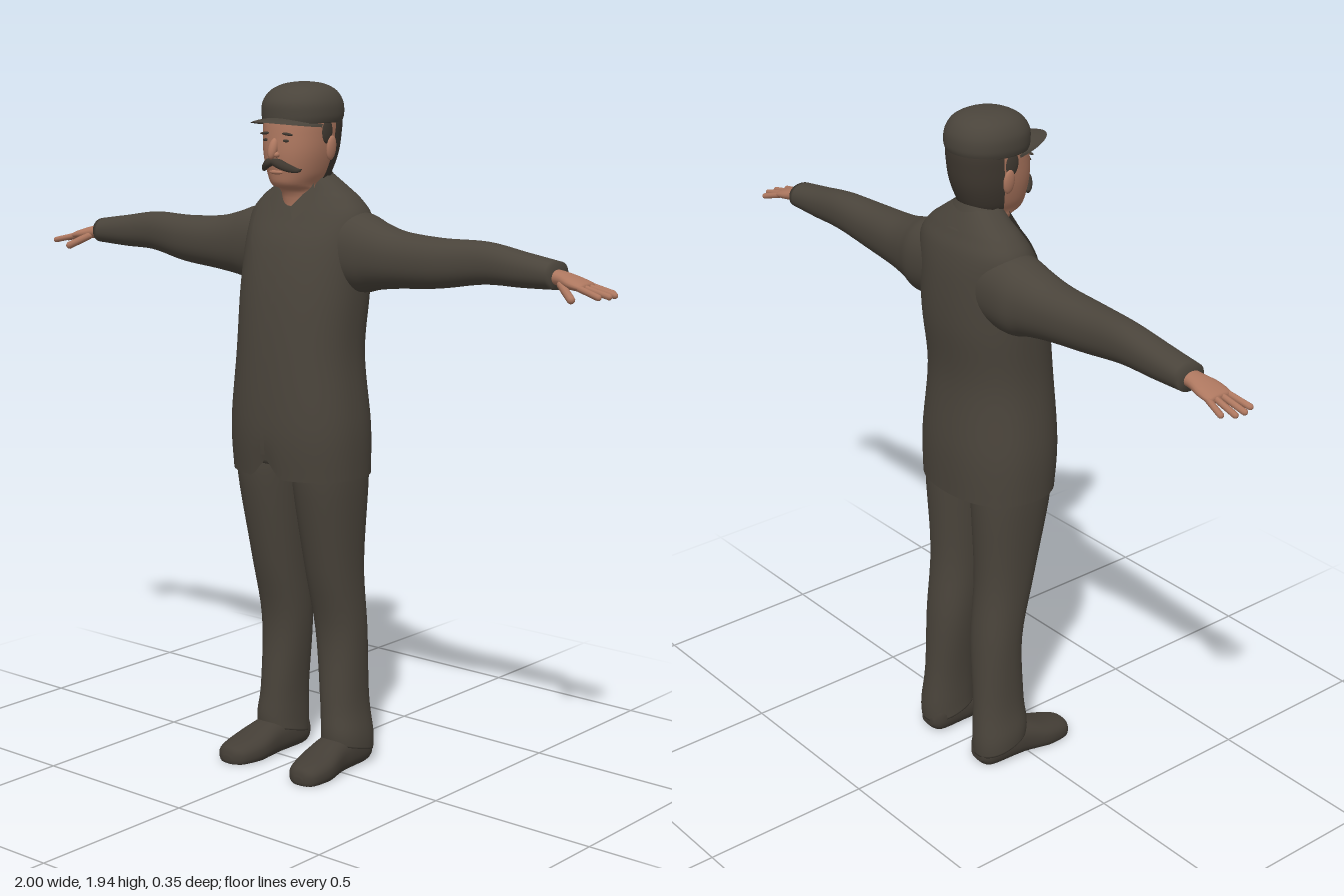
import * as THREE from 'three';

const paint = (name, color, side = THREE.DoubleSide) => {
  const m = new THREE.MeshStandardMaterial({ color, side });
  m.name = name;
  return m;
};

// Smoothly subdivide a list of cross-sections
function dense(rows, steps = 5) {
  const out = [], last = rows.length - 1;
  const cr = (a, b, c, d, t) => b + 0.5 * t * (c - a + t * (2 * a - 5 * b + 4 * c - d + t * (3 * (b - c) + d - a)));
  for (let i = 0; i < last; i++) for (let k = 0; k < steps; k++) {
    const [a, b, c, d] = [rows[Math.max(i - 1, 0)], rows[i], rows[i + 1], rows[Math.min(i + 2, last)]];
    out.push(b.map((_, j) => cr(a[j], b[j], c[j], d[j], k / steps)));
  }
  out.push(rows[last]);
  return out;
}

// Skin superellipse sections [s, cu, cv, ru, rv]; axis y: u=x v=z, axis x: u=z v=y, axis z: u=y v=x
function loft(rows, { axis = 'y', n = 2.2, seg = 40, from = 0, to = Math.PI * 2, caps = true, warp } = {}) {
  const pos = [], idx = [], full = to - from > 6.28, cols = full ? seg : seg + 1;
  const put = (s, u, v) => {
    const p = axis === 'y' ? new THREE.Vector3(u, s, v) : axis === 'x' ? new THREE.Vector3(s, v, u) : new THREE.Vector3(v, u, s);
    if (warp) warp(p);
    pos.push(p.x, p.y, p.z);
  };
  const pw = (c) => Math.sign(c) * Math.abs(c) ** (2 / n);
  rows.forEach(([s, cu, cv, ru, rv]) => {
    for (let j = 0; j < cols; j++) {
      const t = from + (to - from) * j / seg;
      put(s, cu + ru * pw(Math.cos(t)), cv + rv * pw(Math.sin(t)));
    }
  });
  for (let i = 0; i < rows.length - 1; i++) for (let j = 0; j < seg; j++) {
    const a = i * cols + j, b = i * cols + (j + 1) % cols, c = a + cols, d = b + cols;
    idx.push(a, c, b, b, c, d);
  }
  if (caps && full) [0, rows.length - 1].forEach((r, e) => {
    put(rows[r][0], rows[r][1], rows[r][2]);
    const m = pos.length / 3 - 1;
    for (let j = 0; j < seg; j++) {
      const a = r * cols + j, b = r * cols + (j + 1) % cols;
      idx.push(m, e ? b : a, e ? a : b);
    }
  });
  return build(pos, idx);
}

function build(pos, idx) {
  const g = new THREE.BufferGeometry();
  g.setAttribute('position', new THREE.Float32BufferAttribute(pos, 3));
  g.setIndex(idx);
  g.computeVertexNormals();
  return g;
}

// Sheet between two point functions a(t) and b(t)
function sheet(a, b, nu = 16, nv = 5) {
  const pos = [], idx = [];
  for (let i = 0; i <= nu; i++) for (let j = 0; j <= nv; j++) pos.push(...b(i / nu, j / nv, a(i / nu)));
  for (let i = 0; i < nu; i++) for (let j = 0; j < nv; j++) {
    const p = i * (nv + 1) + j, q = p + nv + 1;
    idx.push(p, p + 1, q, q, p + 1, q + 1);
  }
  return build(pos, idx);
}

function mirrored(geo) {
  const g = geo.clone().scale(-1, 1, 1), ix = g.index.array;
  for (let i = 0; i < ix.length; i += 3) [ix[i], ix[i + 1]] = [ix[i + 1], ix[i]];
  g.computeVertexNormals();
  return g;
}

// Front surface depth of a vertical loft
function frontZ(rows, x, y, n) {
  let i = rows.findIndex((r) => r[0] >= y);
  if (i < 1) i = i < 0 ? rows.length - 1 : 1;
  const a = rows[i - 1], b = rows[i], t = THREE.MathUtils.clamp((y - a[0]) / (b[0] - a[0]), 0, 1);
  const [, cu, cv, ru, rv] = a.map((v, k) => v + (b[k] - v) * t);
  return cv + rv * Math.max(0, 1 - Math.abs((x - cu) / ru) ** n) ** (1 / n);
}

export function createModel() {
  const cloth = paint('dark brown cloth', 0x4a443b);
  const skin = paint('skin', 0xad775f, THREE.FrontSide);
  const hair = paint('dark hair', 0x3f3830);
  const leather = paint('shoe leather', 0x443e36, THREE.FrontSide);
  const model = new THREE.Group();
  const add = (name, geo, mat) => {
    const m = new THREE.Mesh(geo, mat);
    m.name = name;
    model.add(m);
    return m;
  };
  const pair = (name, geo, mat) => {
    add('left' + name, geo, mat);
    add('right' + name, mirrored(geo), mat);
  };
  const blob = (x, y, z, rx, ry, rz, tilt = 0) =>
    new THREE.SphereGeometry(1, 20, 14).scale(rx, ry, rz).rotateZ(tilt).translate(x, y, z);

  // Jacket body with a notch at the front hem
  const body = dense([
    [0.862, 0, -0.017, 0.204, 0.156], [1.0, 0, -0.012, 0.205, 0.162], [1.2, 0, -0.01, 0.186, 0.15],
    [1.37, 0, -0.028, 0.19, 0.147], [1.5, 0, -0.043, 0.192, 0.13], [1.58, 0, -0.057, 0.192, 0.104],
    [1.625, 0, -0.06, 0.16, 0.082], [1.655, 0, -0.06, 0.12, 0.067], [1.69, 0, -0.055, 0.07, 0.052]], 6);
  add('jacket', loft(body, {
    n: 2.3, seg: 80, caps: false,
    warp: (p) => {
      if (p.z > 0.05 && Math.abs(p.x) < 0.05) p.y += 0.055 * (1 - Math.abs(p.x) / 0.05) * Math.max(0, 1 - (p.y - 0.862) / 0.12);
    },
  }), cloth);
  const onBody = (x, y, off) => [x, y, frontZ(body, x, y, 2.3) + off];

  // Lapels, front edge and collars
  const line = (pts) => new THREE.CatmullRomCurve3(pts.map(([x, y]) => new THREE.Vector3(x, y, 0)), false, 'centripetal');
  const patch = (inner, outer, off) => {
    const a = line(inner), b = line(outer);
    return sheet((t) => a.getPoint(t), (t, v, p) => {
      const q = p.clone().lerp(b.getPoint(t), v);
      return onBody(q.x, q.y, off);
    });
  };
  pair('Lapel', patch([[0.065, 1.645], [0.045, 1.53], [0.003, 1.33]], [[0.115, 1.635], [0.125, 1.565], [0.064, 1.43], [0.004, 1.325]], 0.007), cloth);
  add('frontEdge', patch([[-0.008, 1.34], [-0.008, 1.1], [-0.008, 0.93]], [[0.006, 1.34], [0.006, 1.1], [0.006, 0.93]], 0.004), cloth);
  add('jacketCollar', loft(dense([
    [1.635, 0, -0.055, 0.128, 0.083], [1.665, 0, -0.05, 0.1, 0.07], [1.7, 0, -0.042, 0.068, 0.062]]),
  { from: Math.PI * 0.92, to: Math.PI * 2.08, caps: false, warp: (p) => { p.y -= 0.25 * Math.max(0, p.z + 0.1); } }), cloth);
  const wing = [[0.012, 1.607, 0.048], [0.06, 1.672, 0.005], [0.036, 1.572, 0.068], [0.082, 1.625, 0.025]];
  pair('ShirtCollar', build(wing.flat(), [0, 2, 1, 1, 2, 3]), cloth);

  // Sleeves
  pair('Sleeve', loft(dense([
    [0.08, -0.06, 1.5, 0.095, 0.11], [0.19, -0.06, 1.486, 0.09, 0.108], [0.25, -0.054, 1.482, 0.08, 0.092],
    [0.33, -0.048, 1.478, 0.07, 0.077], [0.46, -0.045, 1.48, 0.06, 0.067], [0.6, -0.055, 1.491, 0.049, 0.056],
    [0.72, -0.055, 1.483, 0.046, 0.046], [0.825, -0.055, 1.477, 0.044, 0.036]]), { axis: 'x' }), cloth);

  // Hands: palm, four spread fingers and a thumb
  pair('Palm', loft(dense([
    [0.8, -0.052, 1.476, 0.026, 0.02], [0.84, -0.05, 1.472, 0.03, 0.019], [0.88, -0.047, 1.464, 0.041, 0.017],
    [0.915, -0.047, 1.457, 0.04, 0.012], [0.922, -0.047, 1.455, 0.03, 0.006]]), { axis: 'x', seg: 20 }), skin);
  const finger = (a, b, r) => {
    const A = new THREE.Vector3(...a), d = new THREE.Vector3(...b).sub(A), len = d.length();
    const q = new THREE.Quaternion().setFromUnitVectors(new THREE.Vector3(0, 1, 0), d.normalize());
    return new THREE.CapsuleGeometry(r, len - r, 5, 10).applyQuaternion(q).translate(...A.addScaledVector(d, len / 2).toArray());
  };
  [[-0.077, -0.092, 0.97], [-0.058, -0.064, 0.992], [-0.037, -0.034, 0.994], [-0.018, -0.003, 0.982]].forEach(([z0, z1, tip], i) =>
    pair('Finger' + (i + 1), finger([0.9, 1.459, z0], [tip, 1.439, z1], 0.0085), skin));
  pair('Thumb', finger([0.85, 1.462, -0.025], [0.91, 1.427, 0.012], 0.011), skin);

  // Trousers
  add('trouserSeat', loft(dense([[0.89, 0, -0.02, 0.188, 0.115], [0.97, 0, -0.02, 0.18, 0.12]]), { n: 2.6 }), cloth);
  pair('TrouserLeg', loft(dense([
    [0.055, 0.122, -0.075, 0.064, 0.084], [0.1, 0.122, -0.075, 0.064, 0.086], [0.2, 0.113, -0.073, 0.06, 0.079],
    [0.4, 0.102, -0.071, 0.071, 0.074], [0.6, 0.1, -0.04, 0.076, 0.09], [0.85, 0.102, -0.02, 0.092, 0.12],
    [0.95, 0.1, -0.02, 0.09, 0.115]]), {
    warp: (p) => { p.y += 0.4 * (p.z + 0.075) * Math.max(0, 1 - p.y / 0.18); },
  }), cloth);

  // Shoes, flat underneath
  pair('Shoe', loft(dense([
    [-0.157, 0.03, 0.118, 0.015, 0.025], [-0.13, 0.045, 0.118, 0.052, 0.05], [-0.05, 0.045, 0.12, 0.054, 0.055],
    [0.0, 0.042, 0.122, 0.053, 0.056], [0.07, 0.028, 0.128, 0.043, 0.063], [0.13, 0.02, 0.133, 0.034, 0.052],
    [0.152, 0.018, 0.135, 0.025, 0.034], [0.16, 0.015, 0.135, 0.008, 0.014]]),
  { axis: 'z', n: 2.4, warp: (p) => { p.y = Math.max(0, p.y); } }), leather);

  // Head and neck
  const head = dense([
    [1.56, 0, -0.025, 0.052, 0.055], [1.645, 0, -0.022, 0.058, 0.06], [1.667, 0, 0.002, 0.058, 0.08],
    [1.7, 0, -0.002, 0.074, 0.095], [1.75, 0, -0.008, 0.088, 0.108], [1.8, 0, -0.013, 0.094, 0.111],
    [1.85, 0, -0.017, 0.095, 0.108], [1.9, 0, -0.018, 0.08, 0.09], [1.93, 0, -0.018, 0.04, 0.045]]);
  add('head', loft(head), skin);
  add('hair', loft(head.filter((r) => r[0] > 1.685 && r[0] < 1.88).map(([s, u, v, a, b]) => [s, u, v, a + 0.005, b + 0.006]),
    { from: Math.PI + 0.2, to: Math.PI * 2 - 0.2, caps: false }), hair);
  pair('Sideburn', blob(0.092, 1.815, -0.012, 0.008, 0.035, 0.022), hair);
  pair('Ear', blob(0.097, 1.768, -0.025, 0.009, 0.034, 0.018, -0.12), skin);

  // Face
  add('nose', new THREE.SphereGeometry(1, 16, 12).scale(0.013, 0.03, 0.014).rotateX(-0.35).translate(0, 1.768, 0.105), skin);
  pair('Nostril', blob(0.01, 1.752, 0.102, 0.009, 0.008, 0.01), skin);
  add('lowerLip', blob(0, 1.704, 0.092, 0.024, 0.006, 0.007), skin);
  const onFace = (x, y) => frontZ(head, x, y, 2.2);
  pair('Eyebrow', blob(0.037, 1.808, onFace(0.037, 1.808), 0.022, 0.004, 0.005, -0.08), hair);
  pair('Eye', blob(0.035, 1.79, onFace(0.035, 1.79), 0.012, 0.004, 0.003), hair);

  // Moustache, drooping and tapering to each side
  const half = dense([
    [-0.002, 0.104, 1.733, 0.011, 0.009], [0.02, 0.103, 1.728, 0.013, 0.013],
    [0.042, 0.09, 1.717, 0.012, 0.011], [0.06, 0.073, 1.71, 0.008, 0.006], [0.067, 0.065, 1.713, 0.002, 0.002]]);
  pair('Moustache', loft(half, { axis: 'x', seg: 16 }), hair);

  // Flat cap with a curved peak
  add('capCrown', loft(dense([
    [1.836, 0, -0.018, 0.101, 0.112], [1.856, 0, -0.02, 0.106, 0.116], [1.89, 0, -0.02, 0.104, 0.113],
    [1.92, 0, -0.022, 0.086, 0.092], [1.938, 0, -0.024, 0.052, 0.056], [1.944, 0, -0.025, 0.015, 0.016]]), { n: 2.15 }), cloth);
  add('capPeak', sheet((t) => Math.PI * (0.08 + 0.84 * t), (t, v, a) => {
    const x = Math.cos(a) * 0.1;
    const z = -0.018 + Math.sin(a) * (0.108 + 0.084 * v * Math.sin(a));
    return [x, 1.85 - 1.8 * x * x - 0.008 * v * v, z];
  }, 28, 6), cloth);

  return model;
}
